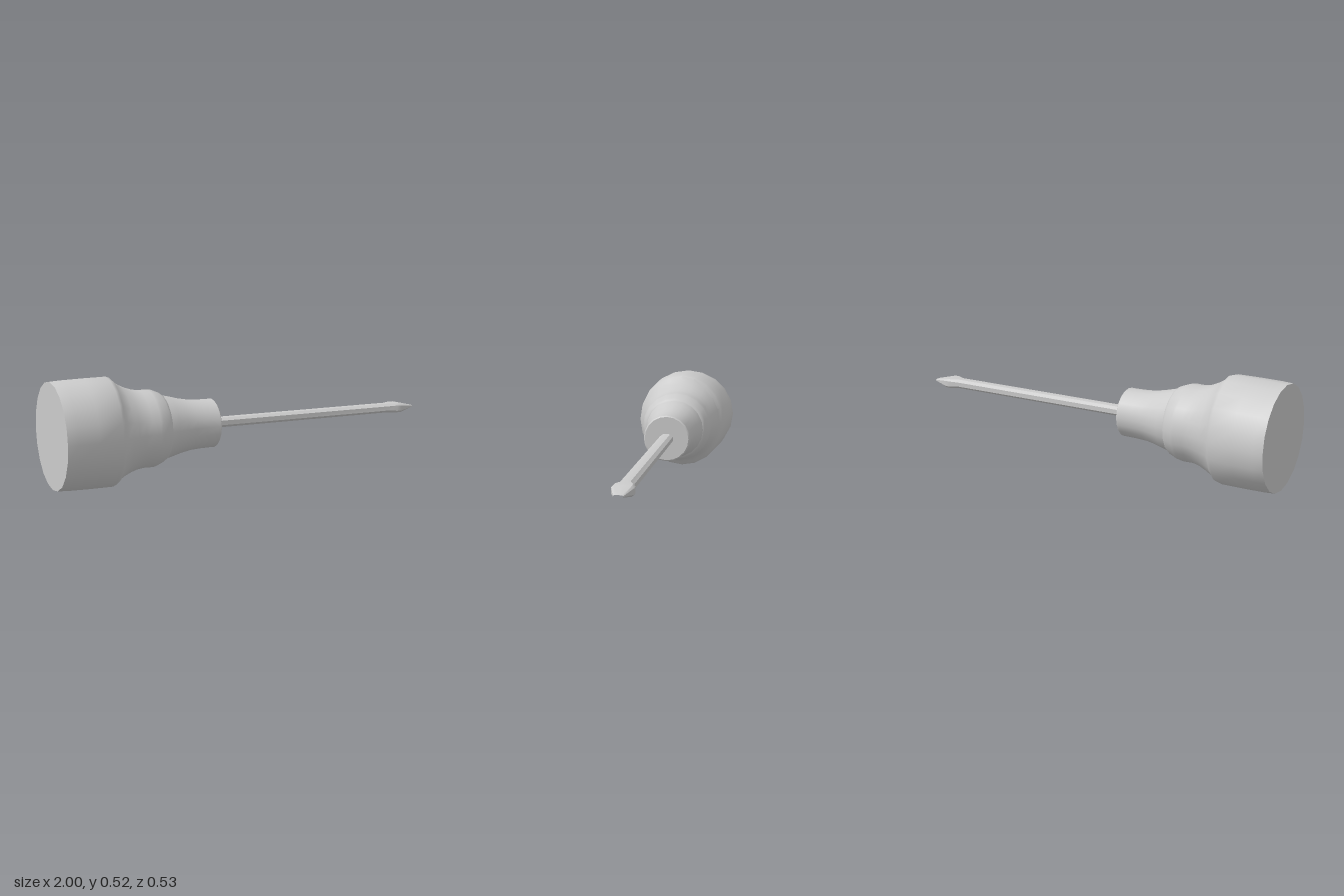
import * as THREE from 'three';
import { toCreasedNormals } from 'three/addons/utils/BufferGeometryUtils.js';

const AXIS_Y = 0.262;
const material = () => new THREE.MeshStandardMaterial({ color: 0xcccccc });

// Handle: a 20-sided turned profile along x, slightly oval across the grip
function createHandle() {
  // [x, vertical radius, sideways radius (if different)]
  const profile = [
    [-1, 0], [-1, 0.252, 0.266], [-0.95, 0.256, 0.263], [-0.85, 0.259, 0.258], [-0.735, 0.261, 0.243],
    [-0.718, 0.255, 0.232], [-0.705, 0.238, 0.219], [-0.67, 0.216, 0.21], [-0.64, 0.202, 0.2],
    [-0.605, 0.191], [-0.57, 0.187], [-0.53, 0.188], [-0.515, 0.186], [-0.475, 0.17], [-0.464, 0.163],
    [-0.46, 0.156], [-0.42, 0.146], [-0.37, 0.133], [-0.32, 0.124], [-0.27, 0.121],
    [-0.205, 0.12], [-0.195, 0.121], [-0.19, 0.115], [-0.19, 0],
  ];
  const geometry = new THREE.LatheGeometry(profile.map(([x, r]) => new THREE.Vector2(r, x)), 20);
  geometry.rotateZ(-Math.PI / 2);
  const pos = geometry.attributes.position;
  for (let i = 0; i < pos.count; i++) {
    const [, ry, rz = ry] = profile[i % profile.length];
    if (ry > 0) pos.setZ(i, pos.getZ(i) * rz / ry);
  }
  const handle = new THREE.Mesh(toCreasedNormals(geometry, 0.6), material());
  handle.name = 'handle';
  return handle;
}

// Blade: ten-point sections lofted along x, flaring and then tapering to a flat tip
function createBlade() {
  // [x, half height, half width, side-facet height, shoulder width] (last two are ratios)
  const rings = [
    [-0.2, 0.025, 0.034, 0.45, 0.55],
    [0.84, 0.025, 0.034, 0.45, 0.55],
    [0.885, 0.026, 0.049, 0.55, 0.8],
    [0.912, 0.025, 0.049, 0.55, 0.8],
    [1, 0.005, 0.022, 0.4, 0.7],
  ];
  const section = ([x, h, w, side, shoulder]) => [
    [1, -side], [1, side], [shoulder, 0.94], [0, 1], [-shoulder, 0.94],
    [-1, side], [-1, -side], [-shoulder, -0.94], [0, -1], [shoulder, -0.94],
  ].map(([z, y]) => [x, y * h, z * w]);

  const sections = rings.map(section);
  const n = sections[0].length;
  const points = [];
  for (let k = 0; k < sections.length - 1; k++) {
    for (let i = 0; i < n; i++) {
      const j = (i + 1) % n;
      const [a, b] = [sections[k], sections[k + 1]];
      points.push(a[i], a[j], b[j], a[i], b[j], b[i]);
    }
  }
  // End faces
  const first = sections[0], last = sections[sections.length - 1];
  for (let i = 1; i < n - 1; i++) {
    points.push(last[0], last[i + 1], last[i]);
    points.push(first[0], first[i], first[i + 1]);
  }
  // Reverse each triangle so that faces point outward
  const corners = [];
  for (let t = 0; t < points.length; t += 3) corners.push(points[t], points[t + 2], points[t + 1]);
  const geometry = new THREE.BufferGeometry();
  geometry.setAttribute('position', new THREE.Float32BufferAttribute(corners.flat(), 3));
  const blade = new THREE.Mesh(toCreasedNormals(geometry, 0.5), material());
  blade.name = 'blade';
  return blade;
}

export function createModel() {
  const model = new THREE.Group();
  model.name = 'screwdriver';
  model.add(createHandle(), createBlade());
  model.children.forEach((part) => { part.position.y = AXIS_Y; });
  return model;
}
